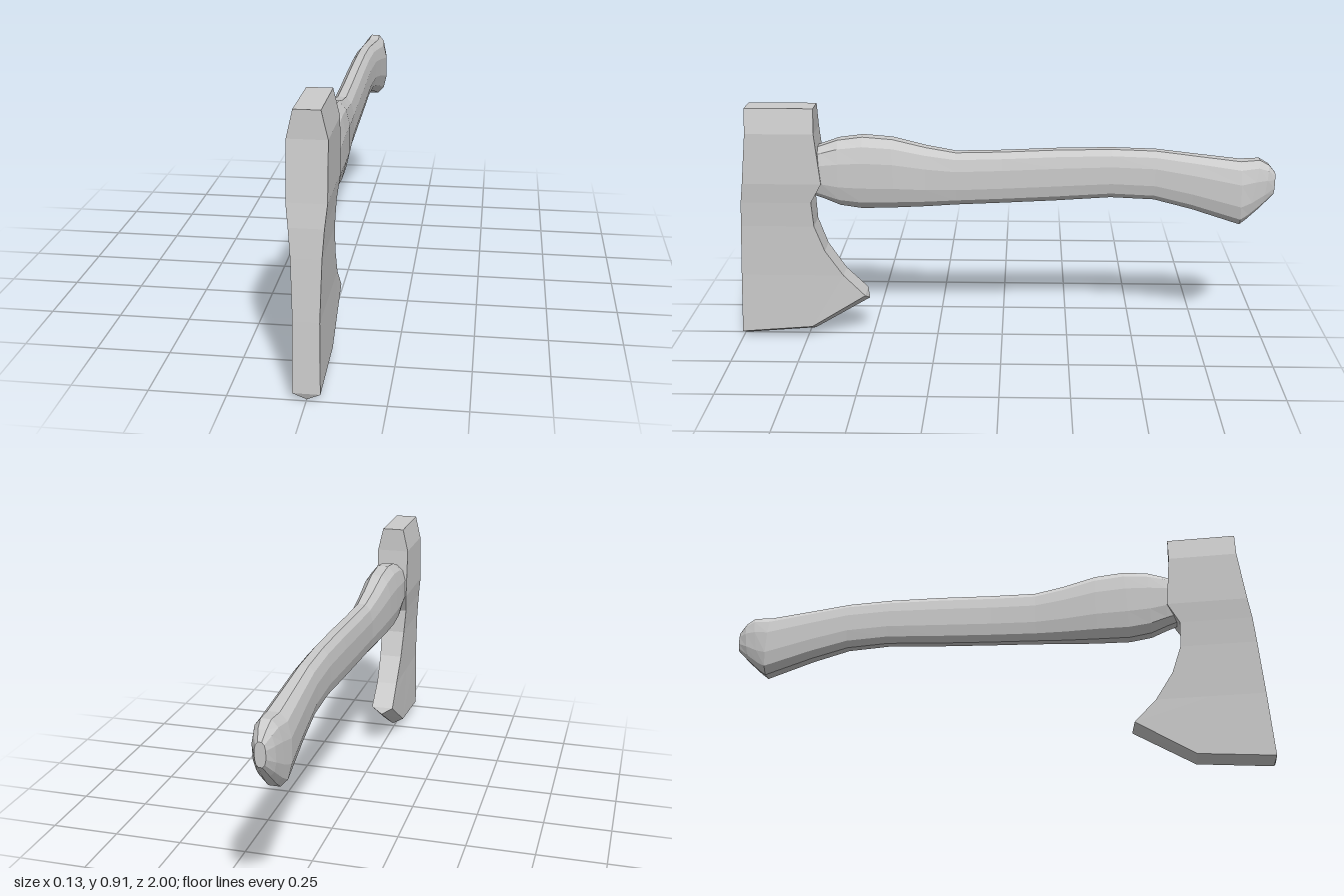
import * as THREE from 'three';

const material = new THREE.MeshStandardMaterial({ color: 0xcccccc, flatShading: true });

// Skin a list of equal-length rings of [x, y, z] and close both ends with fans
function loft(rings, name, capEnd = true) {
  const n = rings[0].length;
  const index = [];
  for (let i = 0; i < rings.length - 1; i++) {
    for (let j = 0; j < n; j++) {
      const k = (j + 1) % n;
      const a = i * n + j, b = a + n, c = i * n + k, d = c + n;
      index.push(a, b, c, c, b, d);
    }
  }
  const last = (rings.length - 1) * n;
  for (let j = 1; j < n - 1; j++) {
    index.push(0, j, j + 1);
    if (capEnd) index.push(last, last + j + 1, last + j);
  }
  const indexed = new THREE.BufferGeometry();
  indexed.setAttribute('position', new THREE.Float32BufferAttribute(rings.flat(2), 3));
  indexed.setIndex(index);
  const geometry = indexed.toNonIndexed();
  geometry.computeVertexNormals();
  const mesh = new THREE.Mesh(geometry, material);
  mesh.name = name;
  return mesh;
}

// Axe head: slices from poll to cutting edge, each a front, middle and back point
function createHead() {
  const level = (y, front, back, w) => ({ w, pts: [[front, y], [(front + back) / 2, y], [back, y]] });
  const slices = [
    level(0.91, 0.93, 0.68, 0.042),
    level(0.82, 0.93, 0.68, 0.063),
    level(0.63, 0.953, 0.663, 0.063),
    level(0.555, 0.965, 0.705, 0.055),
    level(0.46, 0.973, 0.7, 0.048),
    level(0.36, 0.98, 0.665, 0.045),
    level(0.26, 0.987, 0.6, 0.042),
    { w: 0.044, pts: [[1, 0.024], [0.73, 0.046], [0.52, 0.178]] },
    // sharp edge
    { w: 0, pts: [[0.99, 0], [0.725, 0.022], [0.508, 0.152]] },
  ];
  const rings = slices.map(({ w, pts }) => [
    ...pts.map(([z, y]) => [w, y, z]),
    ...[...pts].reverse().map(([z, y]) => [-w, y, z]),
  ]);
  return loft(rings, 'axeHead', false);
}

// Handle: rounded sections given as [z top, y top, z bottom, y bottom, half width]
function createHandle() {
  const sections = [
    [0.74, 0.74, 0.74, 0.59, 0.05],
    [0.66, 0.766, 0.66, 0.562, 0.058],
    [0.6, 0.787, 0.6, 0.537, 0.06],
    [0.51, 0.799, 0.52, 0.525, 0.06],
    [0.4, 0.79, 0.4, 0.528, 0.058],
    [0.28, 0.76, 0.28, 0.533, 0.05],
    [0.17, 0.74, 0.17, 0.54, 0.043],
    [0, 0.744, 0, 0.548, 0.042],
    [-0.2, 0.753, -0.2, 0.559, 0.042],
    [-0.4, 0.757, -0.4, 0.573, 0.042],
    [-0.56, 0.752, -0.56, 0.566, 0.044],
    [-0.7, 0.735, -0.7, 0.53, 0.049],
    [-0.87, 0.715, -0.88, 0.472, 0.057],
    // swollen butt, tapering to a small end face
    [-0.94, 0.72, -0.905, 0.492, 0.048],
    [-0.975, 0.7, -0.955, 0.54, 0.037],
    [-1, 0.67, -1, 0.588, 0.018],
  ];
  const sides = 12;
  const squared = (v) => Math.sign(v) * Math.pow(Math.abs(v), 0.8);
  const rings = sections.map(([zt, yt, zb, yb, w]) =>
    Array.from({ length: sides }, (_, j) => {
      const a = ((j + 0.5) / sides) * Math.PI * 2;
      const top = Math.sin(a) / Math.sin(((sides / 4 - 0.5) / sides) * Math.PI * 2);
      const t = (squared(top) + 1) / 2;
      const x = squared(Math.cos(a) / Math.cos(Math.PI / sides)) * w;
      return [x, yb + (yt - yb) * t, zb + (zt - zb) * t];
    }));
  return loft(rings, 'handle');
}

export function createModel() {
  const axe = new THREE.Group();
  axe.name = 'axe';
  axe.add(createHead(), createHandle());
  return axe;
}
